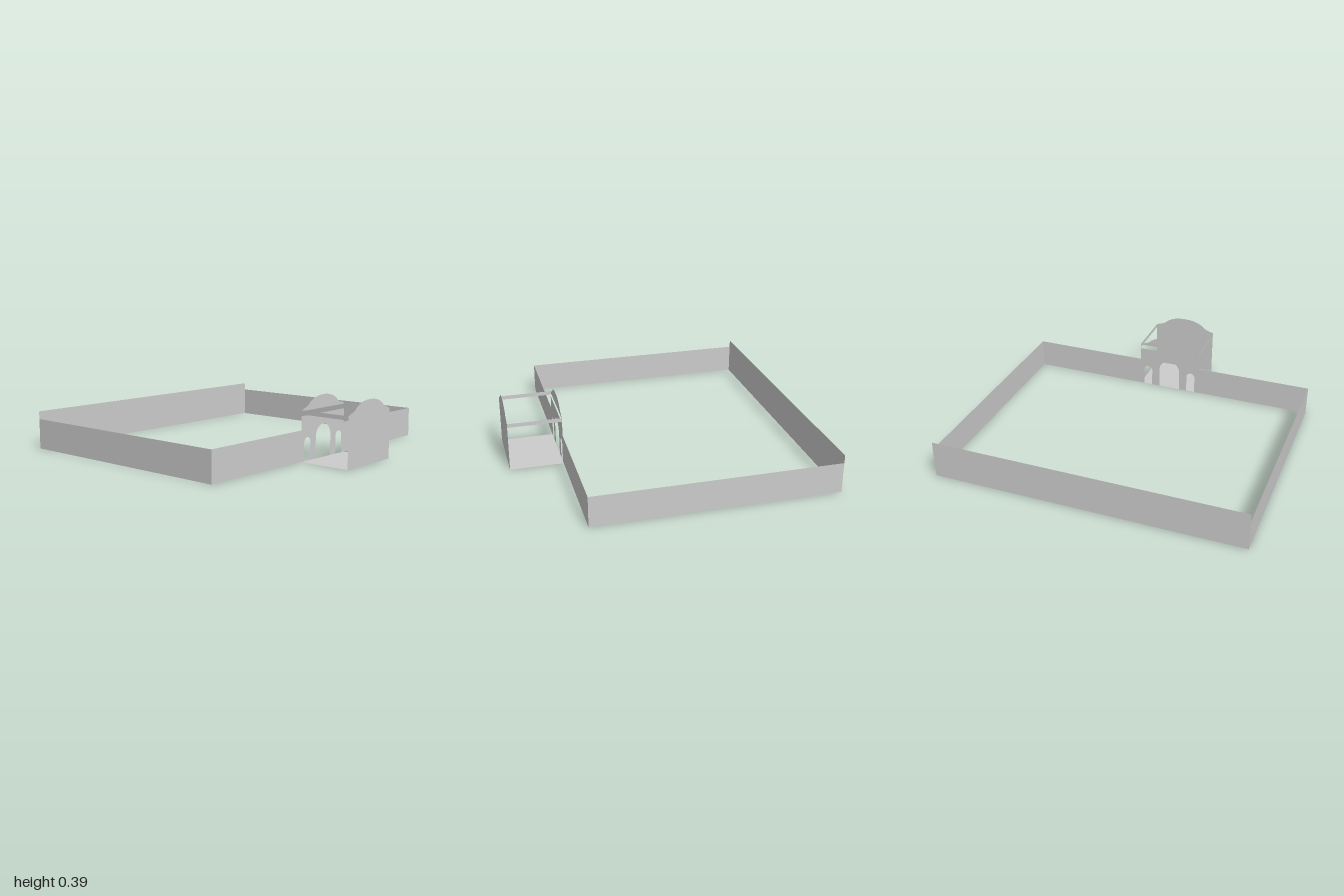
import * as THREE from 'three';

const WEST = -0.94, GATE = 0.6, EAST = 0.94;   // x of rear wall, gate wall, outer facade
const HALF = 1, PORCH = 0.217;                 // half depths of courtyard and gatehouse
const WALL_H = 0.194, REAR_H = 0.244, EAVE = 0.316;

const material = new THREE.MeshStandardMaterial({ color: 0xcccccc, side: THREE.DoubleSide });

export function createModel() {
  const model = new THREE.Group();

  const add = (name, geometry, parent = model) => {
    const mesh = new THREE.Mesh(geometry, material);
    mesh.name = name;
    parent.add(mesh);
    return mesh;
  };

  // Sheet facing z, spanning x0..x1 and y0..y1
  const sheetX = (x0, x1, y0, y1, z) =>
    new THREE.PlaneGeometry(x1 - x0, y1 - y0).translate((x0 + x1) / 2, (y0 + y1) / 2, z);

  // Shape drawn in (z, y), stood up at the given x
  const sheetZ = (shape, x) =>
    new THREE.ShapeGeometry(shape, 12).rotateY(-Math.PI / 2).translate(x, 0, 0);

  const rect = (z0, z1, y0, y1) => new THREE.Shape([
    new THREE.Vector2(z0, y0), new THREE.Vector2(z1, y0),
    new THREE.Vector2(z1, y1), new THREE.Vector2(z0, y1),
  ]);

  // Panel whose top edge is the curved gable outline
  const gable = (base) => {
    const s = new THREE.Shape();
    s.moveTo(-PORCH, base);
    s.lineTo(PORCH, base);
    s.lineTo(PORCH, EAVE);
    s.lineTo(0.17, 0.332);
    s.quadraticCurveTo(0.152, 0.339, 0.14, 0.352);
    s.bezierCurveTo(0.11, 0.376, 0.07, 0.393, 0, 0.393);
    s.bezierCurveTo(-0.07, 0.393, -0.11, 0.376, -0.14, 0.352);
    s.quadraticCurveTo(-0.152, 0.339, -0.17, 0.332);
    s.lineTo(-PORCH, EAVE);
    s.closePath();
    return s;
  };

  // Courtyard walls
  const courtyard = new THREE.Group();
  courtyard.name = 'courtyardWalls';
  model.add(courtyard);
  add('rearWall', sheetZ(rect(-HALF, HALF, 0, REAR_H), WEST), courtyard);
  for (const side of [-1, 1]) {
    add('sideWall', sheetX(WEST, GATE, 0, WALL_H, side * HALF), courtyard);
    const [z0, z1] = side > 0 ? [PORCH, HALF] : [-HALF, -PORCH];
    add('gateSideWall', sheetZ(rect(z0, z1, 0, WALL_H), GATE), courtyard);
  }

  // Gatehouse
  const gatehouse = new THREE.Group();
  gatehouse.name = 'gatehouse';
  model.add(gatehouse);
  add('floor', new THREE.PlaneGeometry(EAST - GATE, 2 * PORCH)
    .rotateX(-Math.PI / 2).translate((GATE + EAST) / 2, 0, 0), gatehouse);
  add('outerFacade', sheetZ(gable(0), EAST), gatehouse);
  add('innerGable', sheetZ(gable(0.31), GATE), gatehouse);
  for (const side of [-1, 1]) {
    add('sideBeam', sheetX(GATE, EAST, 0.291, EAVE, side * PORCH), gatehouse);
  }

  // Arcade: the outline runs along the ground and climbs over each arch
  const arcade = new THREE.Shape();
  arcade.moveTo(-PORCH, 0);
  for (const [centre, radius, top] of [[-0.16, 0.03, 0.145], [0, 0.075, 0.21], [0.16, 0.03, 0.145]]) {
    arcade.lineTo(centre - radius, 0);
    arcade.lineTo(centre - radius, top - radius);
    arcade.absarc(centre, top - radius, radius, Math.PI, 0, true);
    arcade.lineTo(centre + radius, 0);
  }
  arcade.lineTo(PORCH, 0);
  arcade.lineTo(PORCH, 0.28);
  arcade.lineTo(-PORCH, 0.28);
  arcade.closePath();
  add('arcadeWall', sheetZ(arcade, GATE), gatehouse);

  return model;
}
